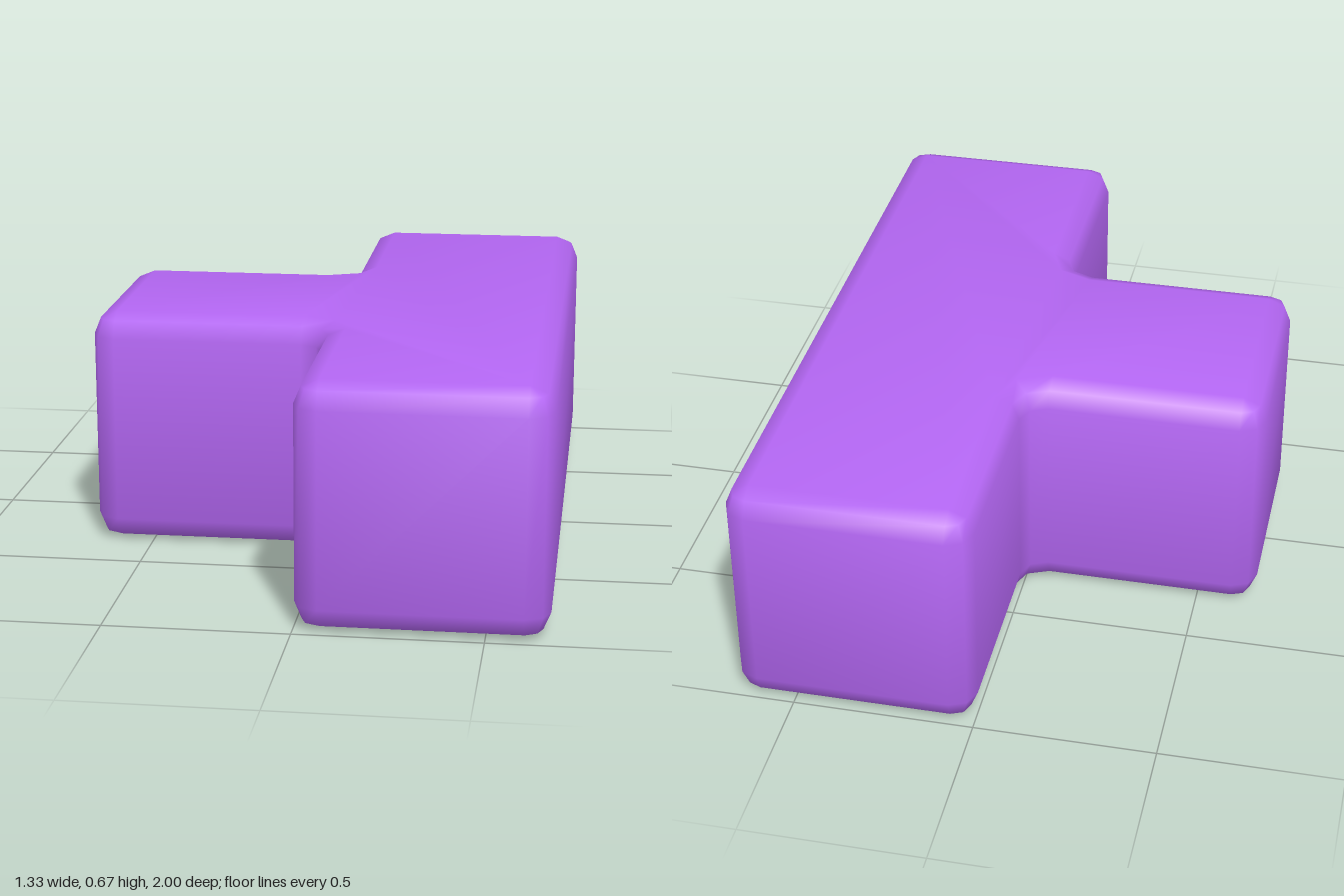
import * as THREE from 'three';

const R = 2 / 3, S = 1 / 3;   // half width of the whole, half width of the stem
const H = 2 / 3;              // height
const r = 0.067;              // edge rounding

// T outline seen from above (x, -z), counter-clockwise
const outline = [[-R, -S], [0, -S], [0, -1], [R, -1], [R, 1], [0, 1], [0, S], [-R, S]]
  .map(([x, v]) => new THREE.Vector2(x, v));

// Rounded corners: centre, start angle and turn (+1 outer, -1 inner)
const corners = outline.map((p, i) => {
  const a = p.clone().sub(outline[(i + 7) % 8]).normalize();
  const b = outline[(i + 1) % 8].clone().sub(p).normalize();
  const turn = Math.sign(a.cross(b));
  const n1 = new THREE.Vector2(a.y, -a.x), n2 = new THREE.Vector2(b.y, -b.x);
  const centre = p.clone().addScaledVector(n1, -turn * r).addScaledVector(n2, -turn * r);
  return { centre, turn, start: Math.atan2(n1.y, n1.x) };
});

// Steps of each rounding; normals lean slightly so the shading flows over the flats
const STEPS = [0, 0.5, 1], SOFT = [0.125, 0.5, 0.875];
const QUARTER = Math.PI / 2;

function roundedBlock() {
  const positions = [], normals = [], index = [], flat = [];
  const count = corners.length * 3, rings = 6;

  // Rings from the bottom cap up to the top cap
  for (let j = 0; j < rings; j++) {
    const lower = j < 3, k = j % 3;
    const phi = (STEPS[k] - (lower ? 1 : 0)) * QUARTER;
    const lean = (SOFT[k] - (lower ? 1 : 0)) * QUARTER;
    const inset = r * (1 - Math.cos(phi));
    const y = (lower ? r : H - r) + r * Math.sin(phi);
    for (const { centre, turn, start } of corners) {
      const radius = turn * r - inset;
      for (let s = 0; s < 3; s++) {
        const t = start + turn * STEPS[s] * QUARTER;
        const n = start + turn * SOFT[s] * QUARTER;
        const x = centre.x + radius * Math.cos(t), v = centre.y + radius * Math.sin(t);
        positions.push(x, y, -v);
        normals.push(Math.cos(lean) * Math.cos(n), Math.sin(lean), -Math.cos(lean) * Math.sin(n));
        flat.push(new THREE.Vector2(x, v));
      }
    }
  }

  // On the cap rings each outer corner meets in a single point
  const id = (j, i) => {
    i %= count;
    const c = Math.floor(i / 3);
    const single = (j === 0 || j === rings - 1) && corners[c].turn > 0;
    return j * count + (single ? c * 3 + 1 : i);
  };
  const face = (a, b, c) => {
    if (a !== b && b !== c && c !== a) index.push(a, b, c);
  };

  // Walls and rounded edges
  for (let j = 0; j < rings - 1; j++) {
    for (let i = 0; i < count; i++) {
      const a = id(j, i), b = id(j, i + 1), c = id(j + 1, i + 1), d = id(j + 1, i);
      face(a, b, c);
      face(a, c, d);
    }
  }

  // Bottom and top
  for (const j of [0, rings - 1]) {
    const loop = [...new Set(Array.from({ length: count }, (_, i) => id(j, i)))];
    for (const [a, b, c] of THREE.ShapeUtils.triangulateShape(loop.map((i) => flat[i]), [])) {
      if (j) face(loop[a], loop[b], loop[c]);
      else face(loop[a], loop[c], loop[b]);
    }
  }

  const geometry = new THREE.BufferGeometry();
  geometry.setAttribute('position', new THREE.Float32BufferAttribute(positions, 3));
  geometry.setAttribute('normal', new THREE.Float32BufferAttribute(normals, 3));
  geometry.setIndex(index);
  return geometry;
}

export function createModel() {
  const group = new THREE.Group();
  const block = new THREE.Mesh(roundedBlock(), new THREE.MeshStandardMaterial({ color: 0xb366f2 }));
  block.name = 'teeBlock';
  group.add(block);
  return group;
}
